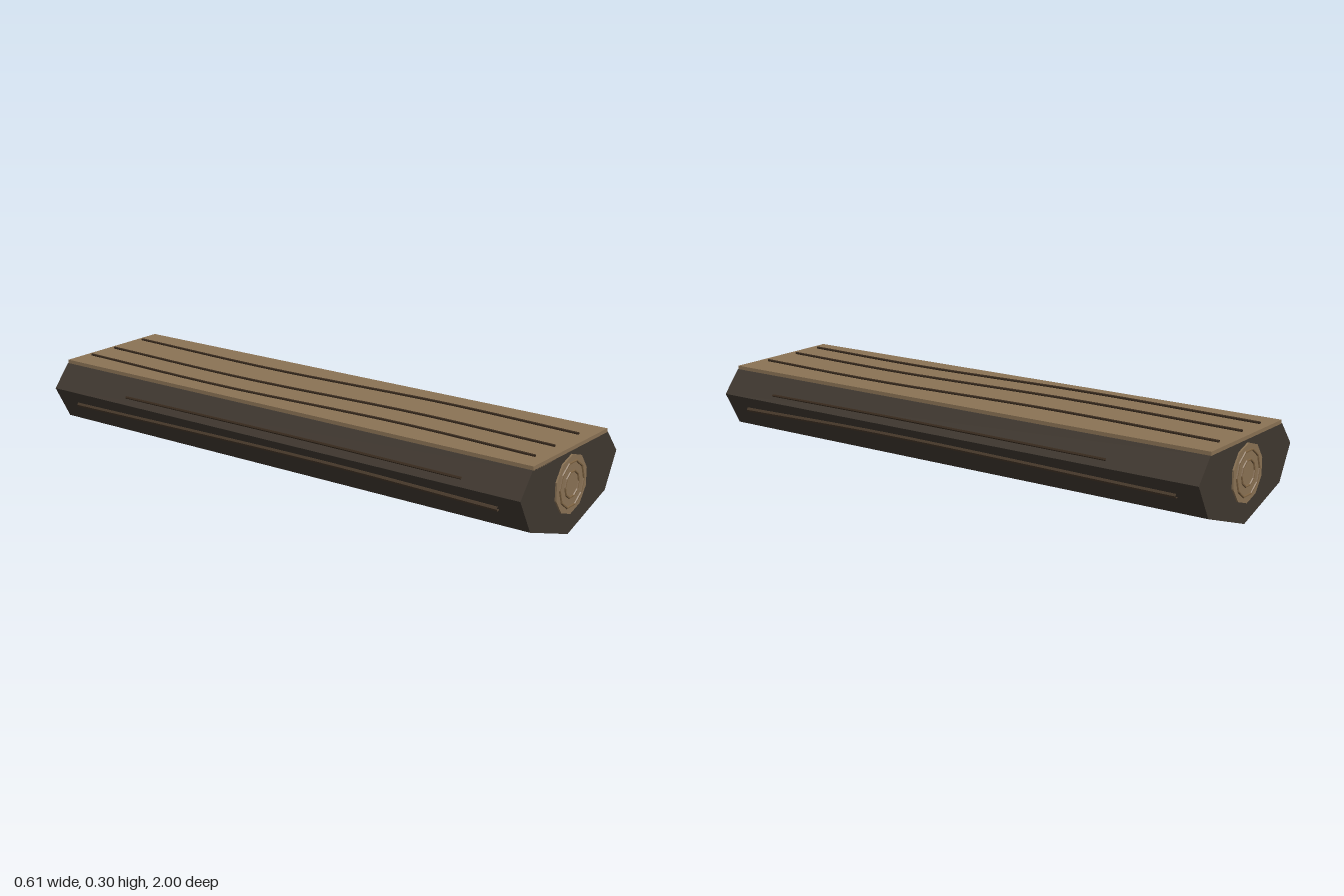
import * as THREE from 'three';

const mat = (color) => new THREE.MeshStandardMaterial({ color, flatShading: true });

export function createModel() {
  const group = new THREE.Group();
  const bark = mat(0x403830), wood = mat(0x8b7355), ring = mat(0x7a6040);
  const grain = mat(0x3a2c1f), ridge = mat(0x4a3b2c);

  const add = (name, geometry, material, x = 0, y = 0, z = 0) => {
    const mesh = new THREE.Mesh(geometry, material);
    mesh.name = name;
    mesh.position.set(x, y, z);
    group.add(mesh);
    return mesh;
  };

  // Split log: a six-sided section running along z
  const section = new THREE.Shape([
    [0, 0], [0.24, 0.08], [0.307, 0.2], [0.24, 0.28],
    [-0.24, 0.28], [-0.307, 0.2], [-0.24, 0.08],
  ].map(([x, y]) => new THREE.Vector2(x, y)));
  const body = new THREE.ExtrudeGeometry(section, { depth: 1.98, bevelEnabled: false });
  add('logBody', body, bark, 0, 0, -0.99);

  // Flat cut face on top
  add('cutFace', new THREE.BoxGeometry(0.47, 0.015, 1.98), wood, 0, 0.2855, 0);

  // Thin strips following a gently bent line
  const strip = (name, points, radius, material) => {
    const path = new THREE.CatmullRomCurve3(points.map((p) => new THREE.Vector3(...p)));
    const tube = new THREE.TubeGeometry(path, 16, radius, 6, false);
    const mesh = add(name, tube, material);
    mesh.material = material.clone();
    mesh.material.side = THREE.DoubleSide;
  };

  // Grain lines on the cut face
  for (const x of [-0.152, -0.031, 0.122]) {
    strip('topGrain', [
      [x + 0.01, 0.298, -0.96], [x - 0.012, 0.298, -0.31],
      [x + 0.014, 0.298, 0.43], [x - 0.005, 0.298, 0.95],
    ], 0.0045, grain);
  }

  // Bark ridges, mirrored on both sides
  for (const s of [1, -1]) {
    strip('lowerBarkRidge', [
      [s * 0.284, 0.15, 0.9], [s * 0.288, 0.162, 0.25], [s * 0.28, 0.148, -0.9],
    ], 0.008, ridge);
    strip('upperBarkRidge', [
      [s * 0.288, 0.222, 0.77], [s * 0.287, 0.225, 0.2], [s * 0.288, 0.222, -0.65],
    ], 0.005, grain);
  }

  // Cut ends with growth rings
  for (const s of [1, -1]) {
    const disc = new THREE.CylinderGeometry(0.1, 0.1, 0.01, 10);
    disc.rotateX(Math.PI / 2);
    add('endDisc', disc, wood, 0, 0.17, s * 0.991);
    for (const r of [0.077, 0.044]) {
      add('growthRing', new THREE.TorusGeometry(r, 0.004, 6, 10), ring, 0, 0.17, s * 0.996);
    }
  }
  return group;
}
